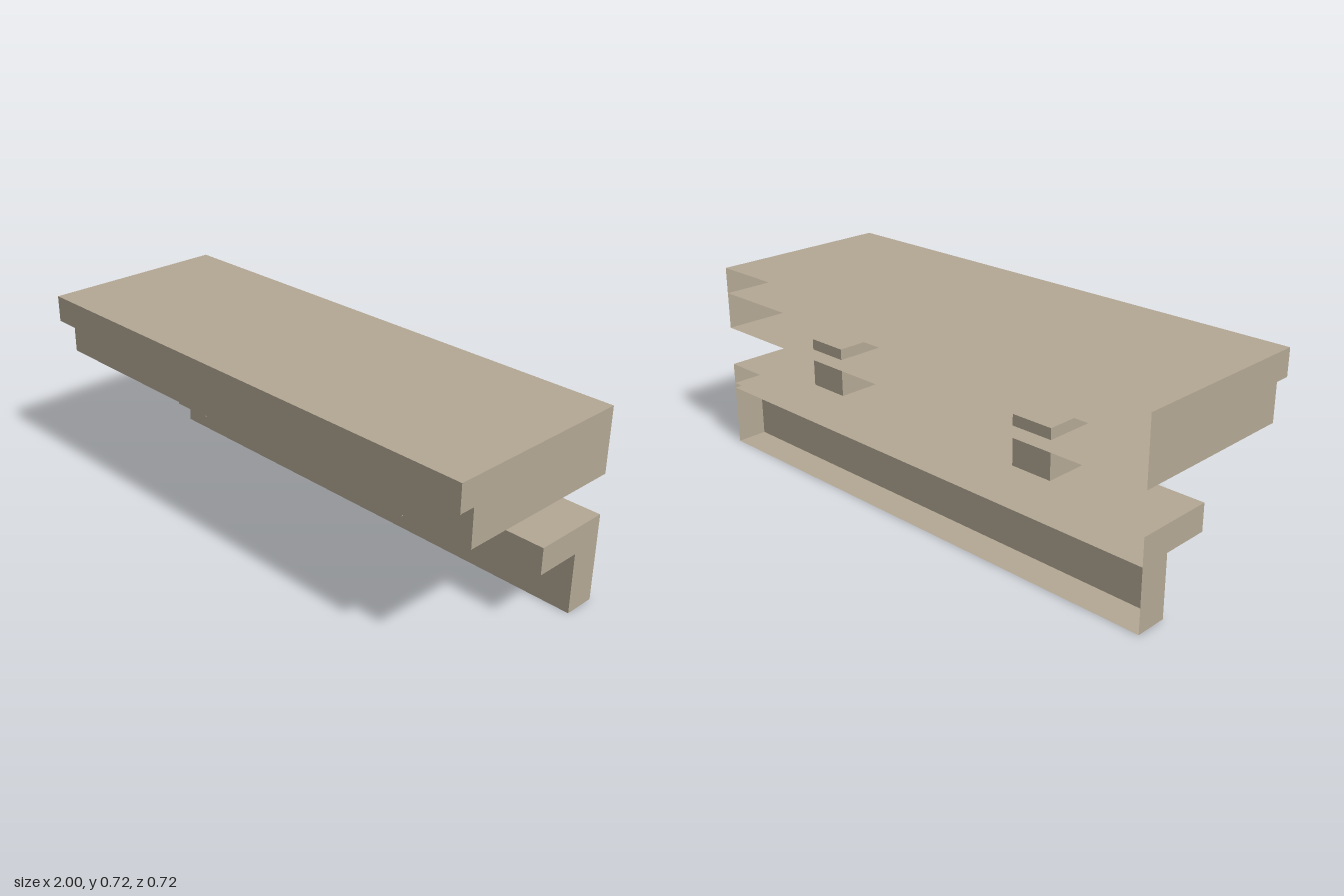
import * as THREE from 'three';

const stone = new THREE.MeshStandardMaterial({ color: 0xb5a996, side: THREE.DoubleSide });
stone.name = 'warm stone';

// Box given by its ranges; openBack leaves out the face towards -z
function block(name, [x0, x1], [y0, y1], [z0, z1], openBack = false) {
  const geometry = new THREE.BoxGeometry(x1 - x0, y1 - y0, z1 - z0);
  if (openBack) {
    // the -z face is the last of the six, two triangles each
    geometry.setIndex(Array.from(geometry.index.array).slice(0, 30));
    geometry.clearGroups();
  }
  const mesh = new THREE.Mesh(geometry, stone);
  mesh.name = name;
  mesh.position.set((x0 + x1) / 2, (y0 + y1) / 2, (z0 + z1) / 2);
  return mesh;
}

export function createModel() {
  const model = new THREE.Group();
  model.name = 'corniceLedge';
  const span = [-1, 1];
  const back = -0.36;

  // Upper cornice: projecting cap over a deep body, hollow at the back
  model.add(block('corniceCap', span, [0.62, 0.72], [back, 0.36], true));
  model.add(block('corniceBody', span, [0.48, 0.62], [back, 0.3], true));

  // Pair of brackets, sunk a little into the cornice
  for (const side of [-1, 1]) {
    const x = side * 0.5;
    model.add(block(side > 0 ? 'leftBracket' : 'rightBracket',
      [x - 0.08, x + 0.08], [0.34, 0.52], [-0.29, 0.13]));
  }

  // Lower moulding: ledge overlapping the top of the frieze, hollow at the back
  model.add(block('lowerLedge', span, [0.23, 0.33], [back, -0.06], true));
  model.add(block('frieze', span, [0, 0.25], [back, -0.24], true));

  return model;
}
